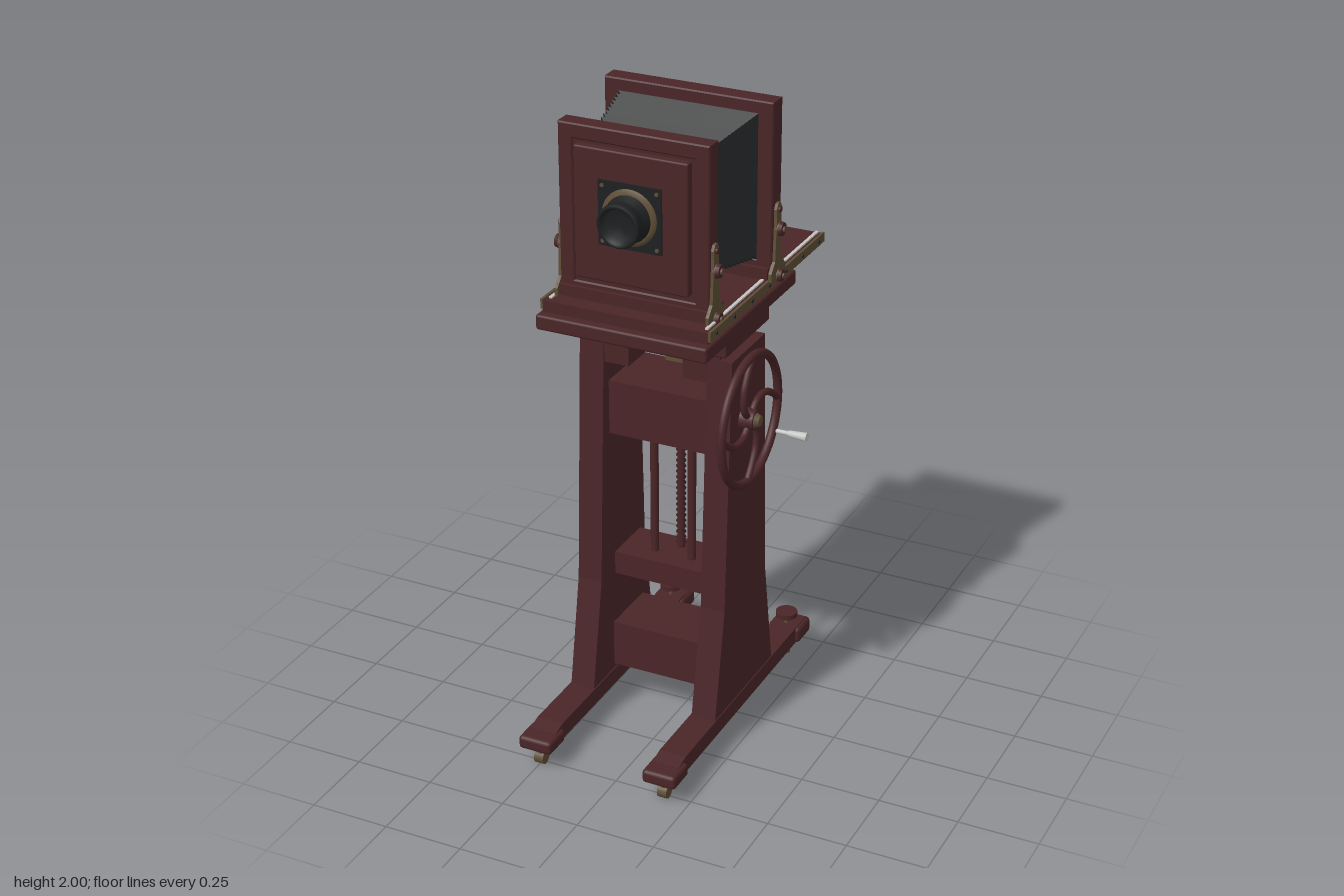
import * as THREE from 'three';
import { RoundedBoxGeometry } from 'three/addons/geometries/RoundedBoxGeometry.js';

const mat = (name, color) => {
  const m = new THREE.MeshStandardMaterial({ color });
  m.name = name;
  return m;
};

export function createModel() {
  const wood = mat('mahogany', 0x4a2527);
  const black = mat('black leather', 0x1e2021);
  const brass = mat('aged brass', 0x5e4e36);
  const steel = mat('steel', 0xc4c4c2);
  const root = new THREE.Group();
  root.name = 'studioCamera';
  const body = new THREE.Group();
  body.name = 'cameraOnStand';
  body.position.x = -0.041; // the crank on one side shifts the body off centre
  root.add(body);

  const add = (name, geo, m) => {
    const mesh = new THREE.Mesh(geo, m);
    mesh.name = name;
    body.add(mesh);
    return mesh;
  };
  // box given by its limits, optionally rounded
  const box = (name, m, x0, x1, y0, y1, z0, z1, r = 0) => {
    const s = [x1 - x0, y1 - y0, z1 - z0];
    const g = r ? new RoundedBoxGeometry(...s, 2, r) : new THREE.BoxGeometry(...s);
    return add(name, g.translate((x0 + x1) / 2, (y0 + y1) / 2, (z0 + z1) / 2), m);
  };
  // cylinder between two points
  const rod = (name, m, a, b, r, r2 = r, seg = 16) => {
    const p = new THREE.Vector3(...a), q = new THREE.Vector3(...b);
    const mesh = add(name, new THREE.CylinderGeometry(r2, r, p.distanceTo(q), seg), m);
    mesh.position.copy(p).add(q).multiplyScalar(0.5);
    mesh.quaternion.setFromUnitVectors(new THREE.Vector3(0, 1, 0), q.sub(p).normalize());
    return mesh;
  };
  // side profile of [z, y] points extruded from x0 to x1
  const slab = (name, m, pts, x0, x1) => {
    const shape = new THREE.Shape(pts.map(p => new THREE.Vector2(...p)));
    const g = new THREE.ExtrudeGeometry(shape, { depth: x1 - x0, bevelEnabled: false });
    return add(name, g.rotateY(-Math.PI / 2).translate(x1, 0, 0), m);
  };

  // ---- Stand: legs, feet, casters and levelling screws ----
  const legProfile = [[0.24, 0.115], [0.177, 0.47], [0.137, 1.28], [-0.093, 1.28], [-0.119, 0.47], [-0.177, 0.115]];
  const footProfile = [[0.5, 0.065], [0.5, 0.108], [0.45, 0.12], [-0.44, 0.12], [-0.44, 0.065]];
  for (const s of [-1, 1]) {
    const span = (a, b) => s > 0 ? [a, b] : [-b, -a];
    slab('leg', wood, legProfile, ...span(0.168, 0.247));
    slab('foot', wood, footProfile, ...span(0.164, 0.25));
    const [t0, t1] = span(0.153, 0.263);
    box('frontToe', wood, t0, t1, 0.063, 0.107, 0.455, 0.553, 0.012);
    box('rearToe', wood, t0, t1, 0.063, 0.118, -0.458, -0.36, 0.015);
    const [g0, g1] = span(0.088, 0.207);
    box('topCornerBlock', wood, g0, g1, 1.2, 1.308, -0.093, 0.135);
    const x = s * 0.208;
    rod('casterStem', brass, [x, 0.03, 0.508], [x, 0.065, 0.508], 0.014);
    rod('casterWheel', brass, [x - 0.015, 0.024, 0.508], [x + 0.015, 0.024, 0.508], 0.022);
    rod('casterPin', wood, [x, 0.012, 0.463], [x, 0.065, 0.463], 0.006);
    rod('levellingScrew', brass, [x, 0.012, -0.384], [x, 0.15, -0.384], 0.007);
    rod('levellingPad', brass, [x, 0.01, -0.384], [x, 0.022, -0.384], 0.014);
    rod('levellingKnob', wood, [x, 0.147, -0.384], [x, 0.163, -0.384], 0.035, 0.035, 20);
  }
  box('lowerCrossbar', wood, -0.168, 0.168, 0.135, 0.286, -0.1, 0.1);
  box('middleCrossbar', wood, -0.168, 0.168, 0.455, 0.53, -0.085, 0.085);
  box('liftBlock', wood, -0.168, 0.168, 0.952, 1.127, -0.11, 0.11);
  for (const x of [-0.063, 0.063]) rod('guideRod', wood, [x, 0.5, 0.02], [x, 1, 0.02], 0.013);

  // Threaded lifting screw
  const thread = [];
  for (let i = 0; i <= 56; i++) thread.push(new THREE.Vector2(i % 2 ? 0.016 : 0.01, 0.44 + i * 0.0095));
  add('liftScrew', new THREE.LatheGeometry(thread, 14), wood).position.z = -0.035;

  // Clamp bracket, rod and lever behind the lift block
  box('clampBracket', brass, -0.078, 0.075, 1.122, 1.157, -0.182, -0.09);
  rod('clampRod', black, [-0.025, 0.85, -0.167], [-0.025, 1.38, -0.167], 0.006, 0.006, 10);
  rod('clampRodTip', black, [-0.025, 0.85, -0.167], [-0.025, 0.862, -0.167], 0.01);
  rod('clampHub', brass, [-0.025, 1.15, -0.167], [-0.025, 1.172, -0.167], 0.018);
  rod('clampLever', steel, [-0.03, 1.16, -0.17], [-0.094, 1.237, -0.232], 0.006, 0.009, 10);

  // ---- Hand wheel ----
  const wheel = new THREE.Group();
  wheel.name = 'handWheel';
  wheel.position.set(0.269, 1.069, 0.056);
  wheel.rotation.y = Math.PI / 2;
  body.add(wheel);
  const wheelPart = (name, geo, m) => {
    const mesh = new THREE.Mesh(geo, m);
    mesh.name = name;
    wheel.add(mesh);
    return mesh;
  };
  wheelPart('wheelRim', new THREE.TorusGeometry(0.199, 0.0135, 10, 56), wood);
  const spoke = new THREE.CatmullRomCurve3([[0, 0], [0.055, 0.026], [0.11, 0.012], [0.155, -0.03], [0.185, -0.075]]
    .map(([x, y]) => new THREE.Vector3(x, y, 0)));
  for (let i = 0; i < 4; i++) {
    wheelPart('wheelSpoke', new THREE.TubeGeometry(spoke, 20, 0.011, 8), wood).rotation.z = i * Math.PI / 2 + 0.3;
  }
  rod('wheelHub', wood, [0.245, 1.069, 0.056], [0.288, 1.069, 0.056], 0.036, 0.03, 20);
  rod('wheelHubCap', brass, [0.286, 1.069, 0.056], [0.303, 1.069, 0.056], 0.024, 0.016);
  rod('wheelAxle', brass, [0.12, 1.069, 0.056], [0.25, 1.069, 0.056], 0.015);
  rod('crankPin', steel, [0.265, 0.957, -0.11], [0.325, 0.957, -0.11], 0.007);
  rod('crankGrip', steel, [0.321, 0.957, -0.11], [0.381, 0.957, -0.11], 0.01, 0.014);

  // ---- Table and sliding bed ----
  box('tableSupport', wood, -0.2435, 0.2435, 1.307, 1.378, -0.132, 0.172, 0.006);
  box('tableBase', wood, -0.271, 0.271, 1.376, 1.423, -0.262, 0.36, 0.008);
  box('bed', wood, -0.262, 0.262, 1.423, 1.458, -0.472, 0.33);
  for (const s of [-1, 1]) {
    const x = s * 0.265;
    box('bedSideRail', brass, x - 0.004, x + 0.004, 1.431, 1.461, -0.475, 0.33);
    box('bedTrack', steel, s * 0.247 - 0.005, s * 0.247 + 0.005, 1.456, 1.463, -0.47, 0.31);
    for (let i = 0; i < 7; i++) {
      const z = 0.29 - i * 0.12;
      rod('railScrew', black, [s * 0.268, 1.446, z], [s * 0.271, 1.446, z], 0.006, 0.006, 8);
    }
  }
  // Focusing crank at the rear of the bed
  box('focusPlate', brass, -0.119, -0.05, 1.42, 1.458, -0.48, -0.471);
  rod('focusShaft', brass, [-0.089, 1.442, -0.475], [-0.089, 1.442, -0.512], 0.01);
  box('focusArm', steel, -0.098, -0.08, 1.342, 1.45, -0.515, -0.505);
  rod('focusGrip', steel, [-0.089, 1.35, -0.51], [-0.089, 1.35, -0.556], 0.008, 0.011);

  // ---- Standards ----
  const frame = (name, hw, y0, y1, z0, z1, t) => {
    const rect = (C, w, a, b) => {
      const p = new C();
      p.moveTo(-w, a).lineTo(w, a).lineTo(w, b).lineTo(-w, b).closePath();
      return p;
    };
    const shape = rect(THREE.Shape, hw, y0, y1);
    shape.holes.push(rect(THREE.Path, hw - t, y0 + t, y1 - t));
    const g = new THREE.ExtrudeGeometry(shape, { depth: z1 - z0 - 0.008, bevelSize: 0.004, bevelThickness: 0.004, bevelOffset: -0.004, bevelSegments: 1 });
    add(name, g.translate(0, 0, z0 + 0.004), wood);
  };
  frame('rearStandard', 0.268, 1.465, 2, -0.146, -0.082, 0.05);
  box('rearStandardBase', wood, -0.262, 0.262, 1.46, 1.495, -0.165, -0.068);
  frame('frontStandard', 0.235, 1.465, 1.984, 0.209, 0.267, 0.045);
  box('frontStandardPanel', wood, -0.2, 0.2, 1.5, 1.95, 0.215, 0.26);
  box('frontStandardBase', wood, -0.24, 0.24, 1.46, 1.495, 0.185, 0.28);
  box('lensBoard', wood, -0.178, 0.178, 1.53, 1.93, 0.255, 0.285, 0.006);

  // Ground glass back with brass strips, corner screws and release cable
  box('glassBack', black, -0.182, 0.226, 1.534, 1.942, -0.165, -0.14);
  box('glassBackInset', black, -0.22, 0.22, 1.51, 1.955, -0.142, -0.09);
  for (const y of [1.553, 1.912]) {
    box('backStrip', brass, -0.178, 0.222, y - 0.009, y + 0.009, -0.172, -0.164);
    for (const x of [-0.165, 0.022, 0.208])
      rod('stripScrew', brass, [x, y, -0.17], [x, y, -0.177], 0.011, 0.008, 10);
  }
  const cable = new THREE.CatmullRomCurve3([[1.925, -0.165], [1.86, -0.195], [1.75, -0.211], [1.64, -0.198], [1.56, -0.165]]
    .map(([y, z]) => new THREE.Vector3(0.216, y, z)));
  add('releaseCable', new THREE.TubeGeometry(cable, 24, 0.004, 6), black);

  // Side brackets with clamping knobs
  const bracket = [[0.05, 0], [0.05, 0.025], [0.024, 0.055], [0.016, 0.19], [0.018, 0.215], [0.008, 0.232],
    [-0.008, 0.232], [-0.018, 0.215], [-0.016, 0.19], [-0.024, 0.055], [-0.05, 0.025], [-0.05, 0]];
  for (const s of [-1, 1]) for (const [z, x] of [[0.24, 0.239], [-0.114, 0.272]]) {
    slab('sideBracket', brass, bracket.map(p => [p[0] + z, p[1] + 1.458]), s * x - 0.005, s * x + 0.005);
    const knob = (y, r) => {
      rod('knobCollar', brass, [s * x, y, z], [s * (x + 0.01), y, z], r * 0.9);
      rod('knob', wood, [s * (x + 0.009), y, z], [s * (x + 0.02), y, z], r, r * 0.9);
      rod('knobTip', brass, [s * (x + 0.019), y, z], [s * (x + 0.025), y, z], r * 0.4);
    };
    knob(1.61, 0.022);
    knob(1.465, 0.02);
    rod('bracketScrew', wood, [s * x, 1.67, z], [s * (x + 0.011), 1.67, z], 0.009);
  }

  // ---- Bellows: pleated rings from rear to front ----
  const pleats = 15, rings = [], pos = [];
  for (let i = 0; i <= pleats * 2; i++) {
    const t = i / (pleats * 2), d = i % 2 ? 0 : 0.017;
    const w = 0.224 - 0.052 * t - d, z = -0.09 + 0.302 * t;
    const y0 = 1.515 + 0.043 * t + d, y1 = 1.965 - 0.043 * t - d;
    rings.push([[-w, y0, z], [w, y0, z], [w, y1, z], [-w, y1, z]]);
  }
  for (let i = 0; i < rings.length - 1; i++) for (let j = 0; j < 4; j++) {
    const k = (j + 1) % 4, a = rings[i][j], b = rings[i][k], c = rings[i + 1][k], e = rings[i + 1][j];
    pos.push(...a, ...b, ...c, ...a, ...c, ...e);
  }
  const bellows = new THREE.BufferGeometry();
  bellows.setAttribute('position', new THREE.Float32BufferAttribute(pos, 3));
  bellows.computeVertexNormals();
  add('bellows', bellows, black);

  // ---- Lens ----
  box('lensPlate', black, -0.099, 0.099, 1.645, 1.842, 0.282, 0.29);
  const turned = (name, pts, m) => {
    const g = new THREE.LatheGeometry(pts.map(p => new THREE.Vector2(...p)), 36);
    add(name, g.rotateX(Math.PI / 2), m).position.set(0, 1.743, 0);
  };
  turned('lensFlange', [[0.085, 0.285], [0.085, 0.294], [0.072, 0.3], [0.06, 0.3]], brass);
  turned('lensBarrel', [[0.07, 0.29], [0.07, 0.308], [0.058, 0.314], [0.058, 0.335], [0.066, 0.342], [0.066, 0.362],
    [0.062, 0.366], [0.053, 0.366], [0.045, 0.345], [0, 0.349]], black);
  for (const x of [-0.085, 0.085]) for (const y of [1.66, 1.827])
    rod('lensPlateScrew', brass, [x, y, 0.288], [x, y, 0.294], 0.006, 0.006, 8);
  return root;
}
